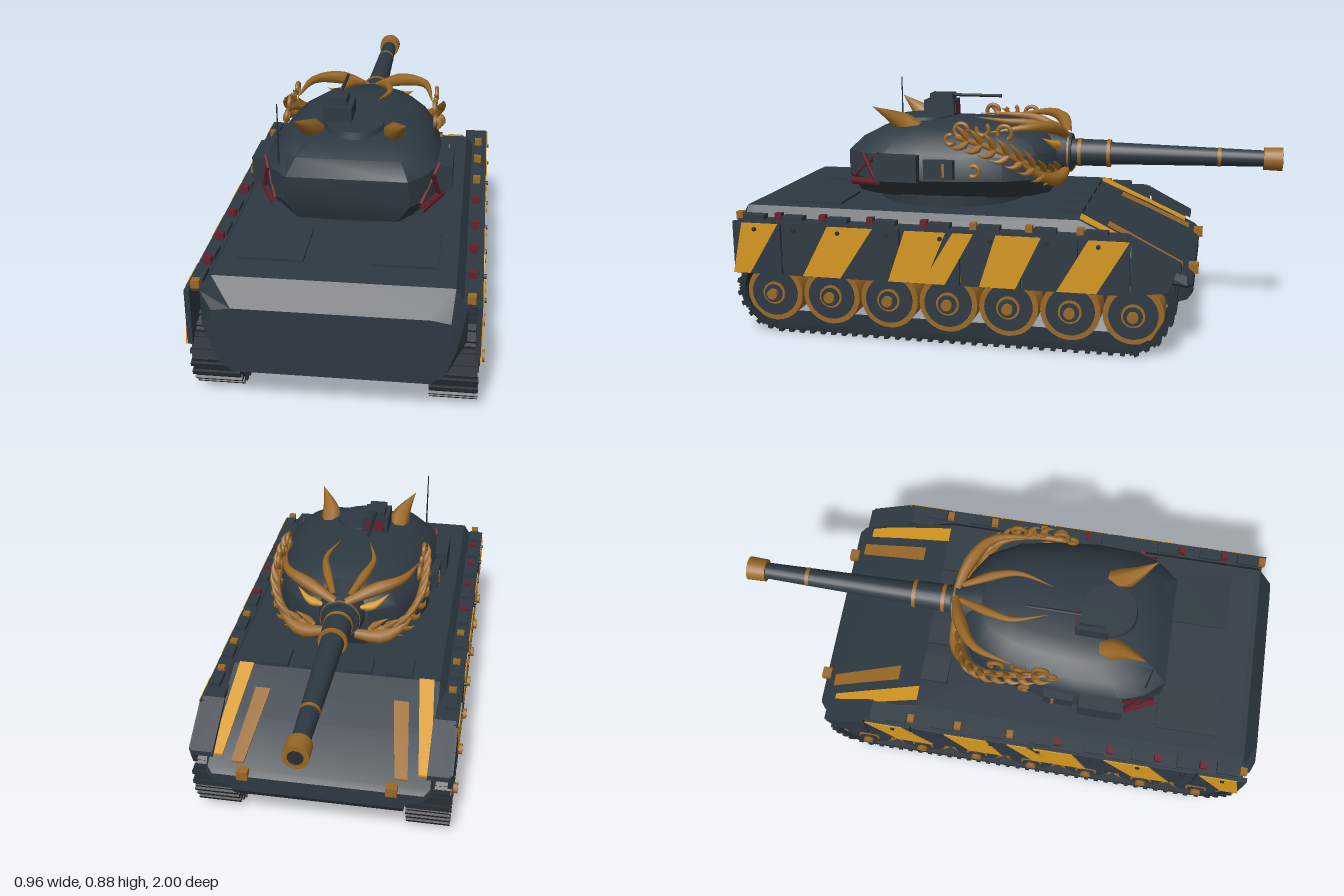
import * as THREE from 'three';
import { toCreasedNormals } from 'three/addons/utils/BufferGeometryUtils.js';

const V = (x, y, z) => new THREE.Vector3(x, y, z);
const mat = (name, color) => {
  const m = new THREE.MeshStandardMaterial({ color });
  m.name = name;
  return m;
};

export function createModel() {
  const root = new THREE.Group();
  const body = mat('slate armour', 0x2e3942);
  const dark = mat('dark track steel', 0x262f36);
  const yellow = mat('yellow paint', 0xd5971f);
  const gold = mat('bronze trim', 0x9a6826);
  const red = mat('red trim', 0x66202b);

  const add = (name, geo, m) => {
    const mesh = new THREE.Mesh(geo, m);
    mesh.name = name;
    root.add(mesh);
    return mesh;
  };
  // reflect a geometry across x = 0, keeping its faces outward
  const reflect = (geo) => {
    const g = (geo.index ? geo.toNonIndexed() : geo.clone()).scale(-1, 1, 1);
    for (const a of Object.values(g.attributes)) {
      for (let i = 0; i < a.count; i += 3) {
        for (let k = 0; k < a.itemSize; k++) {
          const t = a.getComponent(i + 1, k);
          a.setComponent(i + 1, k, a.getComponent(i + 2, k));
          a.setComponent(i + 2, k, t);
        }
      }
    }
    return g;
  };
  const both = (name, geo, m) => {
    add(name + 'Left', geo, m);
    add(name + 'Right', reflect(geo), m);
  };
  const box = (x0, x1, y0, y1, z0, z1) => new THREE.BoxGeometry(x1 - x0, y1 - y0, z1 - z0)
    .translate((x0 + x1) / 2, (y0 + y1) / 2, (z0 + z1) / 2);
  // cylinder along x or z, from a to b
  const rodX = (r, a, b, y, z, n = 24) => new THREE.CylinderGeometry(r, r, b - a, n).rotateZ(Math.PI / 2).translate((a + b) / 2, y, z);
  const rodZ = (rBack, rFront, back, front, n = 20) => new THREE.CylinderGeometry(rFront, rBack, back - front, n)
    .rotateX(-Math.PI / 2).translate(0, 0.633, (back + front) / 2);
  // side plate from a [z, y] outline
  const plate = (pts, xOuter, depth) => new THREE.ExtrudeGeometry(
    new THREE.Shape(pts.map(([z, y]) => new THREE.Vector2(z, y))), { depth, bevelEnabled: false })
    .rotateY(-Math.PI / 2).translate(xOuter, 0, 0);
  // closed solid through rings of equal point count
  const loft = (rings, crease = 0.3) => {
    const n = rings[0].length, tri = [];
    rings.slice(1).forEach((b, k) => {
      const a = rings[k];
      for (let i = 0; i < n; i++) {
        const j = (i + 1) % n;
        tri.push([a[i], a[j], b[j]], [a[i], b[j], b[i]]);
      }
    });
    [rings[0], rings.at(-1)].forEach((r, end) => {
      const c = r.reduce((s, p) => s.add(p), V(0, 0, 0)).divideScalar(n);
      for (let i = 0; i < n; i++) {
        const p = r[i], q = r[(i + 1) % n];
        tri.push(end ? [c, p, q] : [c, q, p]);
      }
    });
    const volume = tri.reduce((s, [a, b, c]) => s + a.dot(b.clone().cross(c)), 0);
    const flat = tri.flatMap(([a, b, c]) => (volume > 0 ? [a, b, c] : [a, c, b]));
    return toCreasedNormals(new THREE.BufferGeometry().setFromPoints(flat), crease);
  };
  // curved horn that swells from the base and runs to a point
  const horn = (pts, r, startSize = 1) => {
    const curve = new THREE.CatmullRomCurve3(pts.map((p) => V(...p)));
    const n = 12, sides = 7, g = new THREE.TubeGeometry(curve, n, r, sides), pos = g.attributes.position, p = V(0, 0, 0);
    for (let i = 0; i < pos.count; i++) {
      const t = Math.floor(i / (sides + 1)) / n, c = curve.getPointAt(t);
      const s = t < 0.3 ? startSize + (1 - startSize) * t / 0.3 : (1 - t) / 0.7;
      p.fromBufferAttribute(pos, i).sub(c).multiplyScalar(Math.max(s, 0.02)).add(c);
      pos.setXYZ(i, p.x, p.y, p.z);
    }
    return g;
  };

  // hull: half sections [x, y] from belly to roof, mirrored at each z
  const section = (z, half) => [...half, ...half.map(([x, y]) => [-x, y]).reverse()].map(([x, y]) => V(x, y, z));
  add('hull', loft([
    section(1, [[0.31, 0.15], [0.36, 0.19], [0.39, 0.28], [0.37, 0.37], [0.31, 0.38]]),
    section(0.94, [[0.31, 0.11], [0.38, 0.19], [0.42, 0.28], [0.42, 0.40], [0.38, 0.46]]),
    section(0.92, [[0.30, 0.11], [0.305, 0.25], [0.42, 0.28], [0.42, 0.40], [0.38, 0.46]]),
    section(-0.3, [[0.30, 0.11], [0.305, 0.25], [0.42, 0.28], [0.42, 0.40], [0.38, 0.46]]),
    section(-0.5, [[0.30, 0.11], [0.305, 0.25], [0.42, 0.28], [0.42, 0.34], [0.39, 0.37]]),
    section(-0.68, [[0.30, 0.17], [0.31, 0.22], [0.39, 0.24], [0.40, 0.25], [0.39, 0.28]]),
    section(-0.7, [[0.30, 0.2], [0.31, 0.22], [0.37, 0.24], [0.375, 0.25], [0.37, 0.265]]),
  ]), body);

  // painted bands on the sloping nose plate, [x0, x1, z] at each end
  const noseY = (z) => 0.4615 - Math.max(0, -0.3 - z) * 0.472;
  const band = (...ends) => loft(ends.map(([x0, x1, z]) => {
    const y = noseY(z);
    return [V(x0, y - 0.002, z), V(x1, y - 0.002, z), V(x1, y + 0.006, z), V(x0, y + 0.006, z)];
  }));
  both('noseYellowBand', band([0.345, 0.388, -0.64], [0.306, 0.36, -0.3]), yellow);
  both('noseBronzeBand', band([0.265, 0.31, -0.66], [0.225, 0.28, -0.39]), gold);
  both('noseHook', box(0.24, 0.28, 0.26, 0.295, -0.715, -0.68), gold);

  // deck hatches and periscopes
  both('engineHatch', box(0.11, 0.32, 0.455, 0.469, 0.6, 0.83), body);
  for (const x of [-0.23, -0.08, 0.08, 0.23]) add('driverPeriscope', box(x - 0.05, x + 0.05, 0.45, 0.475, -0.3, -0.2), body);

  // fenders and skirts
  both('fender', box(0.38, 0.455, 0.405, 0.422, -0.47, 0.95), body);
  both('frontFender', plate([[-0.47, 0.422], [-0.66, 0.325], [-0.66, 0.305], [-0.47, 0.405]], 0.455, 0.08), body);
  const joints = [0.97, 0.78, 0.55, 0.33, 0.11, -0.11, -0.31, -0.49];
  joints.slice(1).forEach((z, i) => both('skirtPanel', box(0.446, 0.463, 0.22, 0.415, z + 0.003, joints[i] - 0.003), body));
  both('frontSkirt', plate([[-0.493, 0.41], [-0.65, 0.325], [-0.62, 0.24], [-0.493, 0.22]], 0.463, 0.017), body);
  [[0.93, 0.79, 0.905, 0.97], [0.6, 0.43, 0.555, 0.7], [0.31, 0.16, 0.24, 0.375], [0.135, 0.06, 0.165, 0.25],
    [-0.02, -0.18, -0.09, 0.04], [-0.345, -0.487, -0.375, -0.235]].forEach(([t0, t1, b1, b0]) =>
    both('skirtStripe', plate([[b0, 0.222], [b1, 0.222], [t1, 0.412], [t0, 0.412]], 0.467, 0.006), yellow));
  [0.9, 0.75, 0.58, 0.4, 0.2, 0.02, -0.18, -0.36].forEach((z, i) => {
    both('fenderBox', box(0.41, 0.45, 0.42, 0.438, z - 0.05, z + 0.03), body);
    both('fenderClasp', box(0.415, 0.442, 0.42, 0.446, z + 0.035, z + 0.06), i > 0 && i < 5 ? red : gold);
    both('skirtBolt', rodX(0.008, 0.46, 0.473, 0.39, z - 0.02, 8), dark);
  });

  // road wheels
  for (let i = 0; i < 7; i++) {
    const z = 0.82 - i * 0.2205, y = 0.147;
    both('wheelRim', rodX(0.107, 0.335, 0.445, y, z, 32), gold);
    both('wheelDisc', rodX(0.087, 0.33, 0.451, y, z, 32), body);
    both('wheelRing', rodX(0.042, 0.44, 0.458, y, z), gold);
    both('wheelCap', rodX(0.034, 0.44, 0.464, y, z), body);
    both('wheelHub', rodX(0.02, 0.44, 0.478, y, z, 12), gold);
  }

  // track belts: links with raised cleats around a closed path of [z, y]
  const path = new THREE.CurvePath();
  const loop = [[0.8, 0.02], [-0.51, 0.02], [-0.58, 0.06], [-0.63, 0.15], [-0.63, 0.22], [-0.58, 0.265],
    [0.86, 0.265], [0.93, 0.23], [0.948, 0.16], [0.925, 0.09], [0.87, 0.035]].map(([z, y]) => V(0, y, z));
  loop.forEach((p, i) => path.add(new THREE.LineCurve3(p, loop[(i + 1) % loop.length])));
  const links = 84;
  for (let i = 0; i < links; i++) {
    const t = i / links, p = path.getPointAt(t), d = path.getTangentAt(t);
    const place = (g) => g.rotateX(Math.atan2(-d.y, d.z)).translate(0.382, p.y, p.z);
    both('trackLink', place(box(-0.074, 0.074, -0.011, 0.011, -0.0205, 0.0205)), dark);
    both('trackCleat', place(box(-0.078, 0.078, 0, 0.02, -0.008, 0.008)), dark);
  }

  // turret: one plan outline, resized at each height [y, width, length, z shift]
  const plan = [[0.1, -0.17], [0.2, -0.11], [0.265, 0], [0.295, 0.15], [0.31, 0.3], [0.305, 0.44], [0.27, 0.53], [0.21, 0.6]];
  const outline = [...plan, ...plan.map(([x, z]) => [-x, z]).reverse()];
  add('turretRing', new THREE.CylinderGeometry(0.285, 0.285, 0.04, 40).translate(0, 0.475, 0.245), body);
  add('turret', loft([[0.49, 0.8, 0.93, 0], [0.56, 1, 1, 0], [0.65, 0.97, 1, 0], [0.7, 0.84, 0.9, -0.01],
    [0.735, 0.64, 0.76, -0.02], [0.75, 0.42, 0.5, -0.02], [0.756, 0.15, 0.2, -0.02]].map(([y, w, l, s]) =>
    outline.map(([x, z]) => V(x * w, y, 0.2 + (z - 0.2) * l + s))), 0.6), body);
  both('turretBox', box(0.27, 0.345, 0.56, 0.655, 0.3, 0.46), body);
  both('turretLocker', box(0.27, 0.322, 0.57, 0.64, 0.17, 0.28), body);
  both('turretLockerTrim', box(0.32, 0.326, 0.58, 0.63, 0.2, 0.21), gold);
  // red cheek marks
  const redBar = (a, b, w) => new THREE.TubeGeometry(new THREE.LineCurve3(V(...a), V(...b)), 1, w, 5);
  both('redMarkLong', redBar([0.30, 0.66, 0.45], [0.245, 0.56, 0.57], 0.007), red);
  both('redMarkLow', redBar([0.31, 0.55, 0.44], [0.245, 0.54, 0.575], 0.015), red);
  both('redMarkShort', redBar([0.305, 0.54, 0.46], [0.28, 0.65, 0.52], 0.008), red);

  // commander's cupola, sight and antenna
  add('cupola', new THREE.CylinderGeometry(0.1, 0.11, 0.04, 28).translate(0, 0.742, 0.36), body);
  add('sightBox', box(-0.11, -0.01, 0.74, 0.815, 0.25, 0.37), body);
  add('sightHead', box(-0.095, -0.03, 0.81, 0.84, 0.26, 0.35), body);
  add('sightWindow', box(-0.095, -0.025, 0.765, 0.8, 0.246, 0.252), red);
  add('roofGun', new THREE.CylinderGeometry(0.006, 0.006, 0.2, 8).rotateX(Math.PI / 2).translate(-0.06, 0.833, 0.17), dark);
  add('antenna', new THREE.CylinderGeometry(0.002, 0.004, 0.28, 6).translate(-0.238, 0.74, 0.53), dark);

  // gun and mantlet
  add('mantlet', rodZ(0.11, 0.07, -0.1, -0.22), body);
  add('gunSleeve', rodZ(0.052, 0.05, -0.2, -0.36), body);
  add('gunBarrel', rodZ(0.043, 0.03, -0.34, -0.94), body);
  add('muzzle', rodZ(0.042, 0.044, -0.93, -0.998), gold);
  add('bore', rodZ(0.026, 0.026, -0.99, -1), dark);
  [[0.075, -0.205], [0.054, -0.25], [0.053, -0.36], [0.035, -0.77]].forEach(([r, z]) =>
    add('gunBand', rodZ(r, r, z + 0.007, z - 0.007), gold));

  // horns, brows and whiskers
  both('rearHorn', horn([[0.135, 0.715, 0.36], [0.145, 0.755, 0.42], [0.19, 0.812, 0.51]], 0.04), gold);
  both('whisker', horn([[0.03, 0.715, -0.18], [0.075, 0.75, -0.06], [0.09, 0.757, 0.02], [0.055, 0.765, 0.15]], 0.018, 0.6), gold);
  both('brow', horn([[0.02, 0.7, -0.2], [0.11, 0.74, -0.17], [0.21, 0.755, -0.1], [0.255, 0.735, 0.07]], 0.026, 0.6), gold);
  both('cheek', horn([[0.05, 0.57, -0.2], [0.15, 0.555, -0.18], [0.23, 0.59, -0.12], [0.285, 0.68, -0.02]], 0.03, 0.6), gold);
  both('eye', horn([[0.07, 0.67, -0.18], [0.12, 0.68, -0.17], [0.17, 0.71, -0.13]], 0.018, 0.4), yellow);

  // leaf wreath around the turret front
  const stem = new THREE.CatmullRomCurve3([V(0.1, 0.58, -0.18), V(0.2, 0.59, -0.15), V(0.26, 0.64, -0.07), V(0.275, 0.69, 0.05), V(0.265, 0.72, 0.17)]);
  both('wreathStem', new THREE.TubeGeometry(stem, 24, 0.011, 6), gold);
  for (let i = 0; i < 9; i++) {
    const p = stem.getPointAt(i / 9), d = stem.getTangentAt(i / 9);
    for (const s of [1, -1]) {
      const tip = p.clone().addScaledVector(d, 0.065).add(V(0.012, s * 0.042, -s * 0.01));
      const mid = p.clone().lerp(tip, 0.5).add(V(0.012, s * 0.012, 0));
      both('wreathLeaf', horn([p.toArray(), mid.toArray(), tip.toArray()], 0.015, 0.3), gold);
    }
  }
  // scrolls along the turret sides
  [[0.265, 0.745, 0.15, 0.025], [0.27, 0.71, 0.19, 0.018], [0.265, 0.75, 0.07, 0.022], [0.29, 0.6, 0.1, 0.02], [0.265, 0.74, -0.01, 0.026]].forEach(([x, y, z, r], i) =>
    both('scroll', new THREE.TorusGeometry(r, 0.008, 6, 14, 4.6).rotateZ(i * 1.3).rotateY(Math.PI / 2).translate(x, y, z), gold));
  return root;
}
